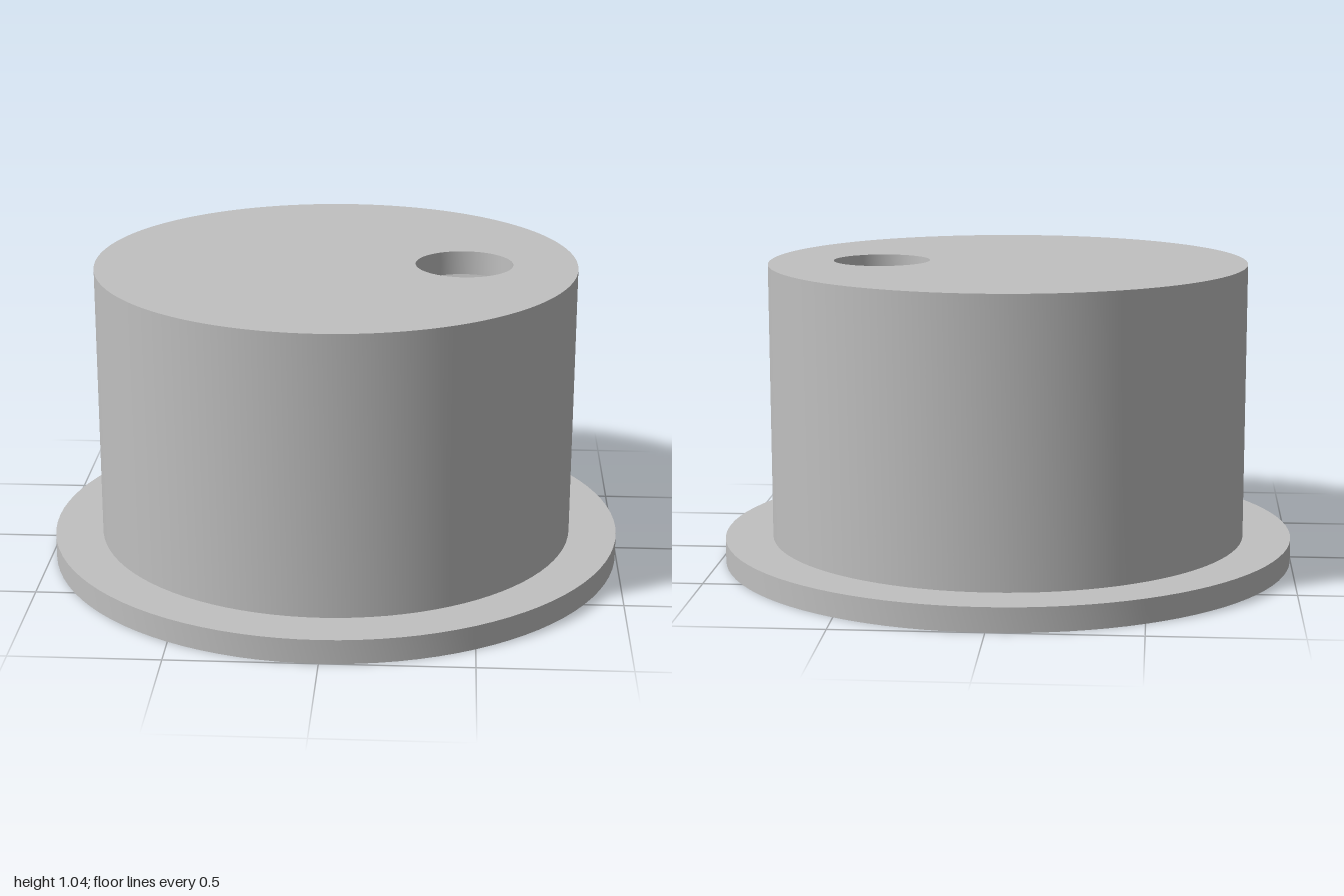
import * as THREE from 'three';
import { toCreasedNormals } from 'three/addons/utils/BufferGeometryUtils.js';

const SEGMENTS = 96;
const HEIGHT = 1.045, PLATE = 0.083;          // overall height, wall and plate thickness
const FLANGE_R = 1, BODY_R = 0.833, INNER_R = 0.75;
const HOLE_R = 0.168, LID_HOLE_X = 0.443;
const CEILING = HEIGHT - PLATE;

export function createModel() {
  const model = new THREE.Group();
  model.name = 'flangedHousing';
  const grey = new THREE.MeshStandardMaterial({ color: 0xc0c0c0 });
  grey.name = 'plain grey';

  const add = (name, geometry) => {
    const mesh = new THREE.Mesh(geometry, grey);
    mesh.name = name;
    model.add(mesh);
    return mesh;
  };
  const turned = (points) => toCreasedNormals(
    new THREE.LatheGeometry(points.map(([r, y]) => new THREE.Vector2(r, y)), SEGMENTS), 0.5);

  // Flange underside, rim, and outer wall
  add('flangeAndOuterWall', turned([
    [HOLE_R, 0], [FLANGE_R, 0], [FLANGE_R, PLATE], [BODY_R, PLATE], [BODY_R, HEIGHT],
  ]));

  // Hollow interior: inner wall, floor and the central hole through the flange
  add('innerWallAndFloor', turned([
    [INNER_R, CEILING], [INNER_R, PLATE], [HOLE_R, PLATE], [HOLE_R, 0],
  ]));

  // Disc with the off-centre hole, used for both faces of the lid
  const lidDisc = (radius) => {
    const shape = new THREE.Shape().absarc(0, 0, radius, 0, Math.PI * 2, false);
    shape.holes.push(new THREE.Path().absarc(LID_HOLE_X, 0, HOLE_R, 0, Math.PI * 2, true));
    return new THREE.ShapeGeometry(shape, SEGMENTS);
  };
  add('lidTop', lidDisc(BODY_R).rotateX(-Math.PI / 2).translate(0, HEIGHT, 0));
  add('lidUnderside', lidDisc(INNER_R).rotateX(Math.PI / 2).translate(0, CEILING, 0));

  // Wall of the lid hole
  add('lidHole', turned([[HOLE_R, HEIGHT], [HOLE_R, CEILING]])).position.x = LID_HOLE_X;

  return model;
}
